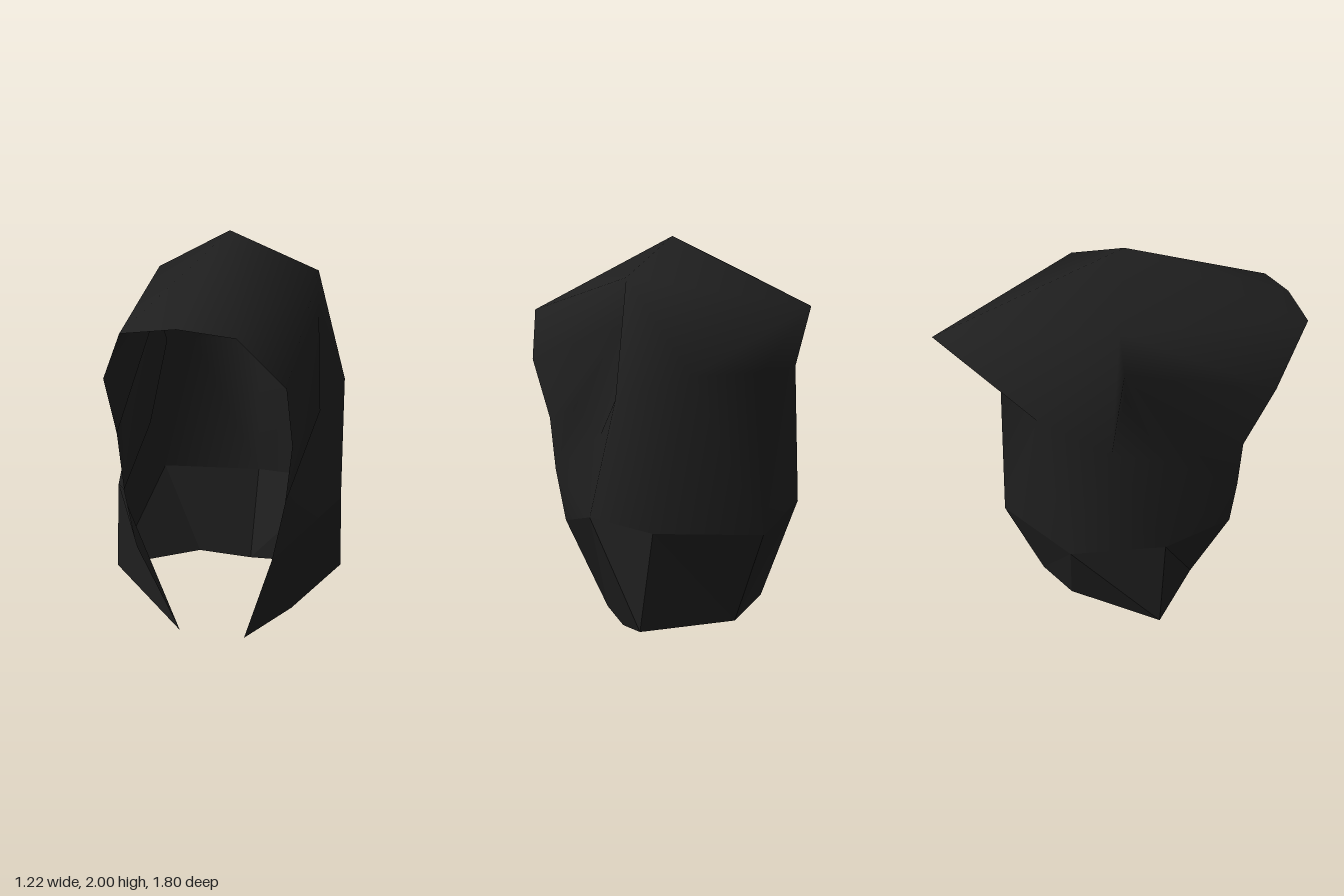
import * as THREE from 'three';

const CENTRE = 0.03; // the crown line sits slightly off centre

// Points on the centre line
const spine = {
  crown: [0, 2, 0.03], brow: [0, 1.64, 0.9], peak: [0, 1.68, -0.9],
  nape: [0, 1.36, -0.6], back: [0, 0.58, -0.63], backHem: [0, 0.1, -0.44],
};

// Points on one side, as offsets from the centre line
const side = {
  temple: [0.42, 1.8, -0.12], browEnd: [0.26, 1.61, 0.89],
  rim1: [0.43, 1.36, 0.67], rim2: [0.43, 1.06, 0.52], rim3: [0.4, 0.78, 0.52], rim4: [0.34, 0.49, 0.52],
  fold: [0.43, 1.58, -0.1], ridge: [0.5, 1.16, 0.2], valleyTop: [0.37, 1.42, -0.08], valley: [0.4, 1.02, 0.12],
  cheek: [0.555, 1.24, -0.2], rear: [0.5, 0.63, -0.4], napeSide: [0.35, 1.36, -0.5], tip: [0.17, 0, 0.38],
};

// The lower edge is cut differently on the two sides
const leftCut = { shoulder: [0.58, 0.65, -0.02], hem: [0.34, 0.03, 0.03], hemRear: [0.54, 0.15, -0.35] };
const rightCut = { shoulder: [0.61, 0.65, 0.06], hem: [0.64, 0.17, 0.03], hemRear: [0.28, 0.15, -0.35] };

const hoodFaces = [
  // top and brow
  'crown brow browEnd', 'crown browEnd temple', 'browEnd rim1 temple',
  // swept front panel
  'rim1 rim2 fold', 'rim1 fold temple', 'rim2 ridge fold', 'rim2 rim3 ridge',
  // tuck under the swept panel
  'fold ridge valley', 'ridge rim3 valley', 'fold valley valleyTop',
  // side below the tuck
  'valleyTop valley cheek', 'fold valleyTop cheek',
  'valley rim3 shoulder', 'valley shoulder cheek', 'rim3 rim4 shoulder',
  'temple fold cheek', 'temple cheek napeSide', 'cheek shoulder rear', 'cheek rear napeSide',
  // rear peak and back
  'crown temple peak', 'temple napeSide peak', 'peak napeSide nape',
  'napeSide rear back', 'napeSide back nape',
];

const hemFaces = ['rim4 tip shoulder', 'shoulder tip hem', 'rear hemRear backHem', 'rear backHem back'];
const leftHemFaces = [...hemFaces, 'shoulder hem hemRear', 'shoulder hemRear rear'];
const rightHemFaces = [...hemFaces, 'shoulder hem rear', 'hem hemRear rear'];

// Builds both halves, sharing the centre-line points so shading stays smooth
function shell(leftFaces, rightFaces) {
  const positions = [], index = [], ids = new Map();
  const vertex = (name, s) => {
    const key = spine[name] ? name : name + s;
    if (!ids.has(key)) {
      const cut = s > 0 ? leftCut : rightCut;
      const [x, y, z] = spine[name] || side[name] || cut[name];
      ids.set(key, positions.length / 3);
      positions.push(CENTRE + s * x, y, z);
    }
    return ids.get(key);
  };
  for (const [s, faces] of [[1, leftFaces], [-1, rightFaces]]) {
    for (const face of faces) {
      const tri = face.split(' ').map((name) => vertex(name, s));
      index.push(...(s > 0 ? tri : tri.reverse()));
    }
  }
  const g = new THREE.BufferGeometry();
  g.setAttribute('position', new THREE.Float32BufferAttribute(positions, 3));
  g.setIndex(index);
  return g;
}

export function createModel() {
  const group = new THREE.Group();
  group.name = 'hood';
  const black = new THREE.MeshStandardMaterial({ color: 0x1f1f1f, side: THREE.DoubleSide });
  black.name = 'soft black';

  // Smooth upper shell
  const upper = shell(hoodFaces, hoodFaces);
  upper.computeVertexNormals();
  const hood = new THREE.Mesh(upper, black);
  hood.name = 'hoodShell';

  // Faceted lower edge
  const lower = shell(leftHemFaces, rightHemFaces).toNonIndexed();
  lower.computeVertexNormals();
  const hem = new THREE.Mesh(lower, black);
  hem.name = 'hoodHem';

  group.add(hood, hem);
  return group;
}
